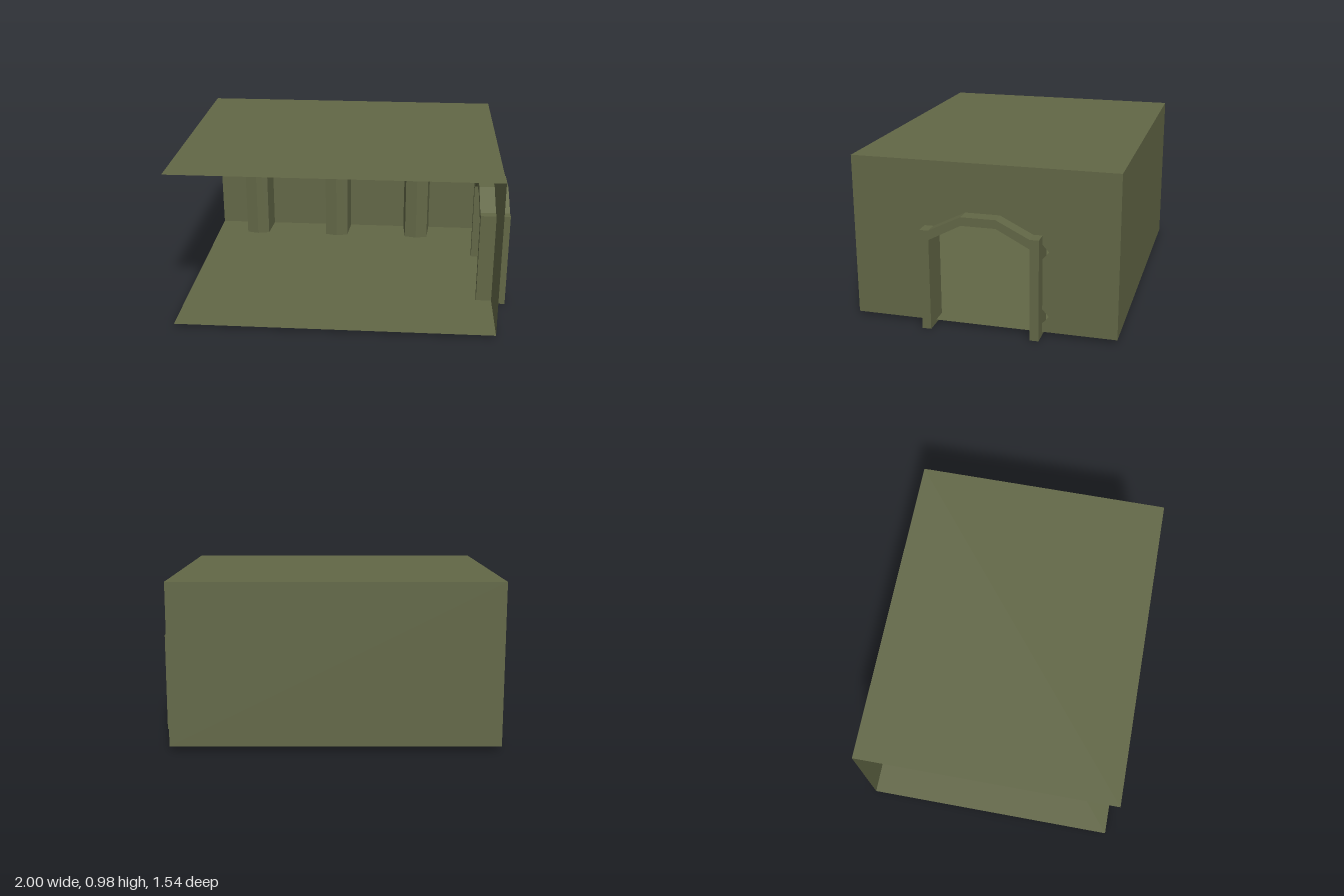
import * as THREE from 'three';

const LEFT = -1, RIGHT = 0.915, HALF_DEPTH = 0.77, FLOOR = 0.02, CEILING = 0.975;

const toShape = (points) => new THREE.Shape(points.map(([x, y]) => new THREE.Vector2(x, y)));

export function createModel() {
  const group = new THREE.Group();
  const olive = new THREE.MeshStandardMaterial({
    name: 'olive', color: 0x62674a & 0xffff00 | 0x46, flatShading: true, side: THREE.DoubleSide,
  });

  const add = (name, geometry, x = 0, y = 0, z = 0) => {
    const mesh = new THREE.Mesh(geometry, olive);
    mesh.name = name;
    mesh.position.set(x, y, z);
    group.add(mesh);
    return mesh;
  };

  // Thin floor, ceiling and back wall; the front and one side stay open
  const width = RIGHT - LEFT, midX = (LEFT + RIGHT) / 2;
  const slab = new THREE.PlaneGeometry(width, HALF_DEPTH * 2);
  add('floor', slab.clone().rotateX(-Math.PI / 2), midX, FLOOR, 0);
  add('ceiling', slab.clone().rotateX(-Math.PI / 2), midX, CEILING, 0);
  add('backWall', new THREE.PlaneGeometry(width, CEILING - FLOOR).rotateY(Math.PI),
    midX, (FLOOR + CEILING) / 2, -HALF_DEPTH);

  // Side wall drawn in z and y, with the doorway and two hinge notches cut out
  const wall = toShape([
    [-HALF_DEPTH, FLOOR], [-0.34, FLOOR],
    [-0.34, 0.07], [-0.38, 0.115], [-0.34, 0.16],
    [-0.34, 0.455], [-0.38, 0.5], [-0.34, 0.543],
    [-0.34, 0.595], [-0.29, 0.595], [-0.1, 0.69],
    [0.1, 0.69], [0.29, 0.595], [0.34, 0.595], [0.34, FLOOR],
    [HALF_DEPTH, FLOOR], [HALF_DEPTH, CEILING], [-HALF_DEPTH, CEILING],
  ]);
  add('sideWall', new THREE.ShapeGeometry(wall).rotateY(-Math.PI / 2), RIGHT);

  // Arched door frame passing through the side wall
  const outer = [[0.342, 0], [0.342, 0.595], [0.29, 0.595], [0.1, 0.69]];
  const inner = [[0.1, 0.64], [0.29, 0.54], [0.29, 0]];
  const mirror = (points) => points.map(([x, y]) => [-x, y]).reverse();
  const frame = toShape([...outer, ...mirror(outer), ...mirror(inner), ...inner]);
  add('doorFrame', new THREE.ExtrudeGeometry(frame, { depth: 0.18, bevelEnabled: false })
    .rotateY(-Math.PI / 2), 1);

  // Faceted half columns against the back wall, each with a wider capital
  const prism = (side, shoulder, shoulderDepth, frontDepth, height) => new THREE.ExtrudeGeometry(
    toShape([[-side, 0], [-shoulder, -shoulderDepth], [0, -frontDepth],
      [shoulder, -shoulderDepth], [side, 0]]),
    { depth: height, bevelEnabled: false },
  ).rotateX(-Math.PI / 2);
  const shaft = prism(0.0925, 0.0775, 0.18, 0.198, 0.86);
  const capital = prism(0.19, 0.147, 0.26, 0.29, 0.094);
  for (const x of [-0.712, -0.138, 0.436]) {
    add('columnShaft', shaft, x, FLOOR, -HALF_DEPTH + 0.001);
    add('columnCapital', capital, x, 0.88, -HALF_DEPTH + 0.001);
  }

  return group;
}
